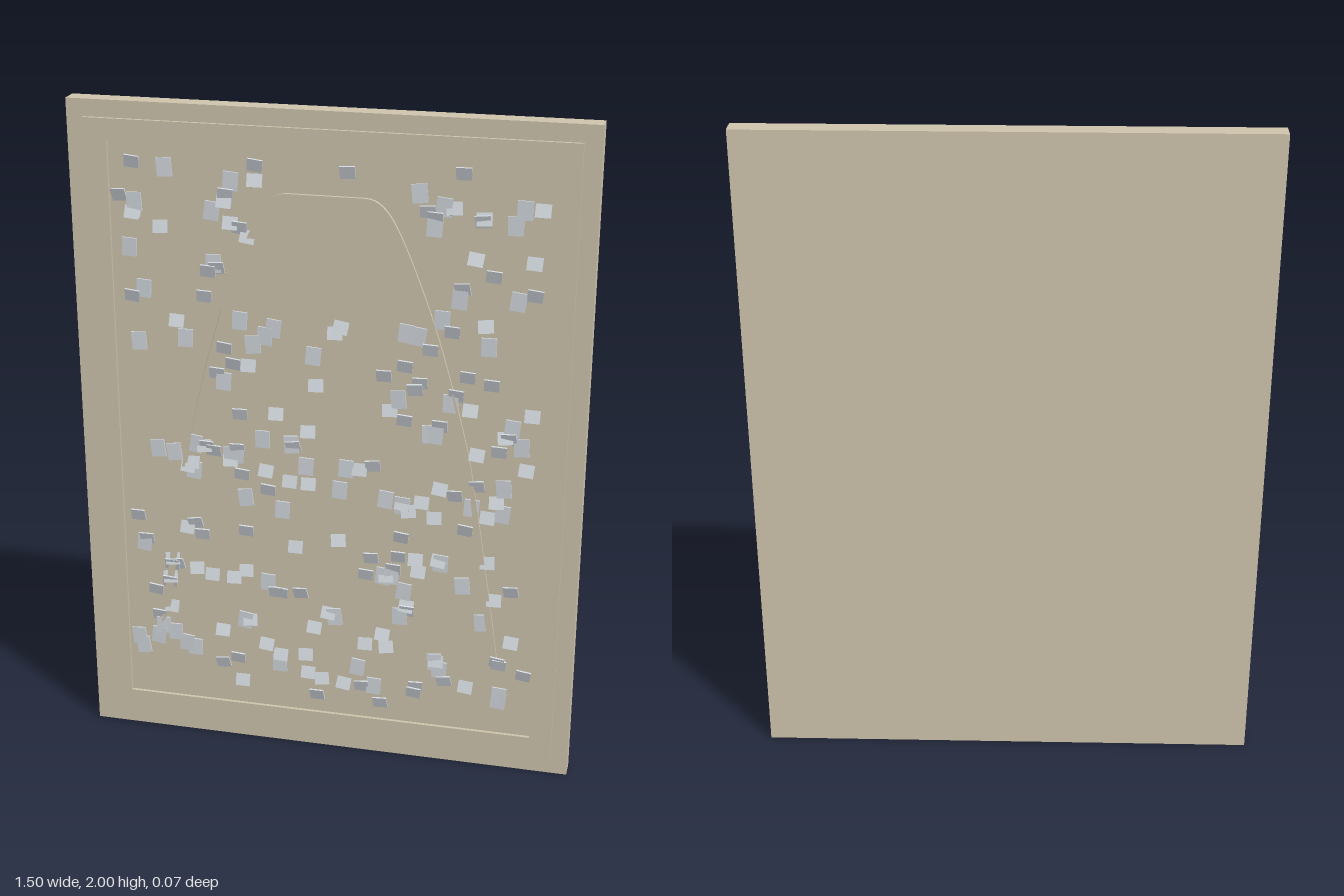
import * as THREE from 'three';

const stone = new THREE.MeshStandardMaterial({ color: 0xd0c5ae });
const chip = new THREE.MeshStandardMaterial({ color: 0xd3d9df, flatShading: true });

const BACK = -0.036, FACE = 0.021, RELIEF = 0.031;

function addMesh(parent, name, geometry, material) {
  const mesh = new THREE.Mesh(geometry, material);
  mesh.name = name;
  parent.add(mesh);
  return mesh;
}

function rect(PathType, halfW, y0, y1) {
  return new PathType([[-halfW, y0], [halfW, y0], [halfW, y1], [-halfW, y1]]
    .map(([x, y]) => new THREE.Vector2(x, y)));
}

function extrude(shape, z0, z1) {
  return new THREE.ExtrudeGeometry(shape, { depth: z1 - z0, bevelEnabled: false, curveSegments: 12 })
    .translate(0, 0, z0);
}

function seeded(seed) {
  return () => {
    seed = (seed * 16807) % 2147483647;
    return seed / 2147483647;
  };
}

// Dome with two long legs tapering towards the bottom
function archShape() {
  const v = (x, y) => new THREE.Vector2(x, y);
  const s = new THREE.Shape();
  s.moveTo(-0.525, 0.37);
  s.splineThru([v(-0.475, 0.7), v(-0.425, 1.0), v(-0.37, 1.22), v(-0.31, 1.42), v(-0.25, 1.58)]);
  s.bezierCurveTo(-0.2, 1.7, -0.17, 1.765, -0.11, 1.765);
  s.lineTo(0.11, 1.765);
  s.bezierCurveTo(0.17, 1.765, 0.2, 1.7, 0.25, 1.58);
  s.splineThru([v(0.31, 1.42), v(0.37, 1.22), v(0.425, 1.0), v(0.475, 0.7), v(0.525, 0.37)]);
  s.lineTo(0.498, 0.41);
  s.splineThru([v(0.455, 0.7), v(0.413, 1.0), v(0.364, 1.22), v(0.297, 1.453)]);
  s.lineTo(-0.308, 1.415);
  s.splineThru([v(-0.364, 1.22), v(-0.413, 1.0), v(-0.455, 0.7), v(-0.498, 0.41)]);
  s.closePath();
  return s;
}

export function createModel() {
  const model = new THREE.Group();
  model.name = 'reliefPanel';

  // Backing slab
  const slab = addMesh(model, 'slab', new THREE.BoxGeometry(1.5, 2, FACE - BACK), stone);
  slab.position.set(0, 1, (FACE + BACK) / 2);

  // Raised border around the field
  const border = rect(THREE.Shape, 0.7, 0.05, 1.95);
  border.holes.push(rect(THREE.Path, 0.632, 0.12, 1.885));
  addMesh(model, 'border', extrude(border, FACE, RELIEF), stone);

  // Raised arch
  addMesh(model, 'arch', extrude(archShape(), FACE, RELIEF), stone);

  // Small stone chips scattered over the field: flat, tipped up or tipped down
  const chips = new THREE.Group();
  chips.name = 'mosaicChips';
  model.add(chips);
  const flatChip = new THREE.BoxGeometry(0.044, 0.054, 0.005);
  const tippedChip = new THREE.BoxGeometry(0.044, 0.038, 0.005);
  const random = seeded(4711);
  const onDome = (x, y) => y > 1.39 && y < 1.79 && Math.abs(x) < 0.3 - (y - 1.42) * 0.4;
  let count = 0;
  while (count < 225) {
    const x = (random() * 2 - 1) * 0.605;
    const y = 0.155 + random() * 1.695;
    if (onDome(x, y)) continue;
    const kind = count % 3;
    const mesh = addMesh(chips, 'chip', kind === 0 ? flatChip : tippedChip, chip);
    mesh.position.set(x, y, kind === 0 ? 0.0265 : 0.0275);
    const tip = [0, -0.3, 0.3][kind];
    mesh.rotation.set(tip, (random() - 0.5) * 0.12, (random() - 0.5) * 0.3);
    count++;
  }
  return model;
}
